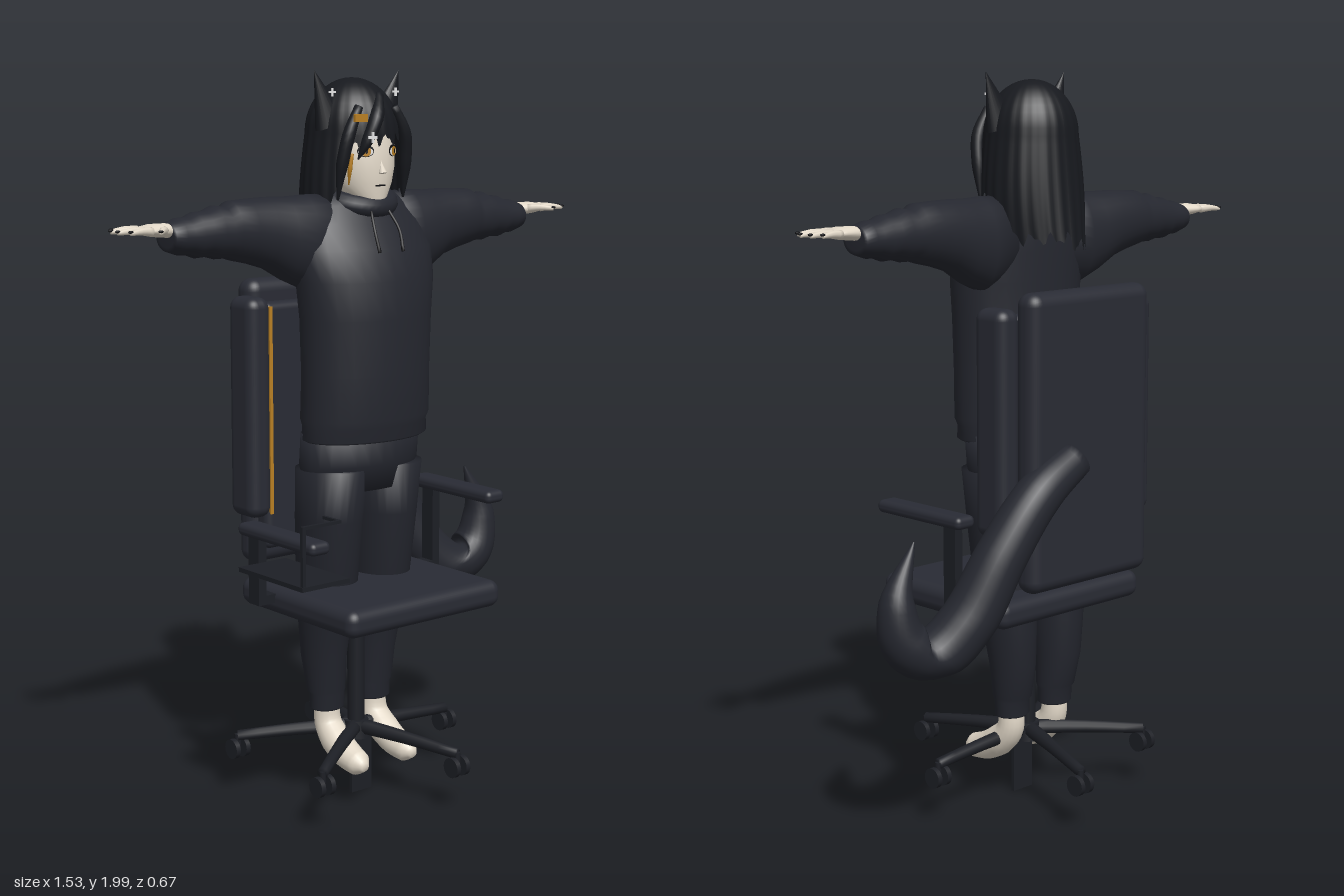
import * as THREE from 'three';
import { RoundedBoxGeometry } from 'three/addons/geometries/RoundedBoxGeometry.js';

const V = (x, y, z) => new THREE.Vector3(x, y, z);
const mat = (name, color, side = THREE.FrontSide) => {
  const m = new THREE.MeshStandardMaterial({ color, side });
  m.name = name;
  return m;
};

// Skin of quads over a grid of points; closed rings get end caps.
function skin(rings, closed = true) {
  const n = rings[0].length, pos = [], idx = [];
  rings.forEach(r => r.forEach(p => pos.push(p.x, p.y, p.z)));
  for (let i = 0; i < rings.length - 1; i++) {
    for (let j = 0; j < (closed ? n : n - 1); j++) {
      const k = (j + 1) % n, a = i * n + j, b = i * n + k;
      idx.push(a, b, a + n, b, b + n, a + n);
    }
  }
  if (closed) [0, rings.length - 1].forEach((ri, end) => {
    const c = rings[ri].reduce((s, p) => s.add(p), V(0, 0, 0)).divideScalar(n);
    const ci = pos.length / 3;
    pos.push(c.x, c.y, c.z);
    for (let j = 0; j < n; j++) {
      const a = ri * n + j, b = ri * n + (j + 1) % n;
      if (end) idx.push(ci, a, b); else idx.push(ci, b, a);
    }
  });
  const g = new THREE.BufferGeometry();
  g.setAttribute('position', new THREE.Float32BufferAttribute(pos, 3));
  g.setIndex(idx);
  g.computeVertexNormals();
  return g;
}

const ring = (c, u, v, n = 28) => Array.from({ length: n }, (_, j) => {
  const t = j / n * Math.PI * 2;
  return c.clone().addScaledVector(u, Math.cos(t)).addScaledVector(v, Math.sin(t));
});

// Upright loft, rows of [y, x centre, x radius, z centre, z radius]
const loftY = rows => skin(rows.map(([y, x, rx, z, rz]) => ring(V(x, y, z), V(0, 0, rz), V(rx, 0, 0))));
// Sideways loft, rows of [x, y centre, y radius, z centre, z radius]
const loftX = rows => skin(rows.map(([x, y, ry, z, rz]) => ring(V(x, y, z), V(0, ry, 0), V(0, 0, rz))));

// Tube with a changing radius along a smooth path
function taper(points, radii, segs = 24, sides = 16) {
  const curve = new THREE.CatmullRomCurve3(points.map(p => V(...p)));
  const f = curve.computeFrenetFrames(segs), rings = [];
  for (let i = 0; i <= segs; i++) {
    const s = i / segs * (radii.length - 1), k = Math.min(Math.floor(s), radii.length - 2);
    const r = THREE.MathUtils.lerp(radii[k], radii[k + 1], s - k);
    rings.push(ring(curve.getPoint(i / segs), f.normals[i].clone().multiplyScalar(r),
      f.binormals[i].clone().multiplyScalar(r), sides));
  }
  return skin(rings);
}

// Mirrored copy across x = 0
function flip(geo) {
  const g = geo.clone().scale(-1, 1, 1);
  if (!g.index) g.setIndex([...Array(g.attributes.position.count).keys()]);
  const a = g.index.array;
  for (let i = 0; i < a.length; i += 3) [a[i], a[i + 1]] = [a[i + 1], a[i]];
  return g;
}

export function createModel() {
  const root = new THREE.Group();
  const cloth = mat('hoodie cloth', 0x25272f), pants = mat('trouser cloth', 0x23252d);
  const chair = mat('chair padding', 0x292b34), frame = mat('chair frame', 0x1d1f25);
  const hairM = mat('hair', 0x17191e, THREE.DoubleSide), skinM = mat('skin', 0xe2d8c8);
  const gold = mat('gold', 0xb98024), white = mat('white', 0xf0f0f0), black = mat('black', 0x0e0e11);

  const add = (name, geo, m) => {
    const mesh = new THREE.Mesh(geo, m);
    mesh.name = name;
    root.add(mesh);
    return mesh;
  };
  const pair = (name, geo, m) => { add(name + 'Left', geo, m); add(name + 'Right', flip(geo), m); };
  // Boxes given by their bounds; r rounds the edges
  const block = (x0, x1, y0, y1, z0, z1, r = 0) => (r
    ? new RoundedBoxGeometry(x1 - x0, y1 - y0, z1 - z0, 4, r)
    : new THREE.BoxGeometry(x1 - x0, y1 - y0, z1 - z0))
    .translate((x0 + x1) / 2, (y0 + y1) / 2, (z0 + z1) / 2);

  // Chair seat and back
  add('seat', block(-0.27, 0.265, 0.55, 0.625, -0.18, 0.31, 0.03), chair);
  add('backPanel', block(-0.225, 0.222, 0.65, 1.44, -0.25, -0.172, 0.035), chair);
  add('backCushion', block(-0.21, 0.21, 0.7, 1.38, -0.18, -0.125, 0.02), chair);
  pair('sideBolster', block(0.212, 0.287, 0.8, 1.4, -0.2, -0.09, 0.03), chair);
  pair('goldPiping', block(0.19, 0.2, 0.8, 1.37, -0.13, -0.121), gold);

  // Armrests, the right one set lower
  [[1, 0.82], [-1, 0.77]].forEach(([s, y]) => {
    const side = s > 0 ? 'Left' : 'Right', fix = g => (s > 0 ? g : flip(g));
    add('armrest' + side, fix(block(0.275, 0.34, y, y + 0.035, -0.09, 0.237, 0.015)), chair);
    add('armrestPost' + side, fix(block(0.297, 0.323, 0.59, y + 0.01, -0.06, -0.015)), frame);
    add('armrestBracket' + side, fix(block(0.2, 0.323, 0.585, 0.61, -0.06, -0.015)), frame);
  });

  // Side tray with a thin wire guard
  add('tray', block(-0.428, -0.275, 0.71, 0.722, 0.04, 0.31), frame);
  add('trayPost', block(-0.425, -0.415, 0.715, 0.877, 0.298, 0.308), frame);
  add('trayBar', block(-0.425, -0.3, 0.869, 0.877, 0.298, 0.308), frame);
  add('trayBarEnd', block(-0.308, -0.3, 0.869, 0.877, 0.24, 0.308), frame);

  // Column and five-star base with twin casters
  add('column', new THREE.CylinderGeometry(0.024, 0.024, 0.38, 20).translate(0, 0.37, 0), frame);
  add('hub', new THREE.CylinderGeometry(0.035, 0.04, 0.05, 20).translate(0, 0.18, 0), frame);
  add('columnPlate', block(-0.036, 0.036, 0, 0.17, 0.016, 0.026), frame);
  for (let i = 0; i < 5; i++) {
    const a = i / 5 * Math.PI * 2, x = 0.335 * Math.cos(a), z = 0.325 * Math.sin(a);
    add('baseLeg', taper([[0, 0.187, 0], [x / 2, 0.178, z / 2], [x, 0.163, z]], [0.022, 0.018, 0.015], 6, 10), frame);
    add('casterStem', new THREE.CylinderGeometry(0.009, 0.009, 0.04, 8).translate(x, 0.147, z), frame);
    [-0.017, 0.017].forEach(d => add('casterWheel',
      new THREE.CylinderGeometry(0.028, 0.028, 0.014, 20).rotateZ(Math.PI / 2).translate(x + d, 0.127, z), frame));
  }

  // Tail
  add('tail', taper([[0.07, 1.0, -0.25], [0.2, 0.92, -0.245], [0.31, 0.78, -0.225], [0.4, 0.62, -0.195],
    [0.49, 0.54, -0.165], [0.575, 0.58, -0.15], [0.597, 0.69, -0.145], [0.535, 0.835, -0.14]],
  [0.05, 0.062, 0.068, 0.075, 0.075, 0.066, 0.046, 0.003], 48, 24), cloth);

  // Hoodie body
  add('hoodieBody', loftY([[1.02, 0, 0.188, 0.036, 0.115], [1.025, 0, 0.196, 0.037, 0.12], [1.06, 0, 0.193, 0.038, 0.122],
    [1.08, 0, 0.2, 0.04, 0.128], [1.2, 0, 0.196, 0.043, 0.132], [1.35, 0, 0.202, 0.043, 0.132],
    [1.45, 0, 0.215, 0.04, 0.127], [1.53, 0, 0.222, 0.027, 0.113], [1.6, 0, 0.205, 0.01, 0.092],
    [1.645, 0, 0.17, 0, 0.075], [1.675, 0, 0.12, -0.005, 0.065], [1.68, 0, 0.08, -0.01, 0.05]]), cloth);
  // Sleeves with soft folds near the cuff
  pair('sleeve', loftX([[0.1, 1.56, 0.115, 0, 0.075], [0.18, 1.55, 0.125, 0, 0.08], [0.24, 1.562, 0.11, -0.005, 0.077],
    [0.3, 1.58, 0.093, -0.01, 0.072], [0.36, 1.588, 0.083, -0.01, 0.069], [0.41, 1.592, 0.076, -0.01, 0.066],
    [0.43, 1.588, 0.066, -0.01, 0.062], [0.46, 1.59, 0.068, -0.01, 0.064], [0.49, 1.588, 0.058, -0.01, 0.058],
    [0.52, 1.586, 0.058, -0.01, 0.058], [0.545, 1.585, 0.048, -0.01, 0.052], [0.57, 1.585, 0.047, -0.01, 0.052],
    [0.6, 1.585, 0.037, -0.01, 0.047], [0.602, 1.587, 0.028, -0.01, 0.036]]), cloth);
  add('hoodCollar', new THREE.TorusGeometry(0.088, 0.028, 12, 36).rotateX(Math.PI / 2 + 0.28)
    .translate(0, 1.662, -0.003), cloth);
  pair('drawstring', taper([[0.03, 1.63, 0.1], [0.042, 1.58, 0.13], [0.04, 1.525, 0.148]], [0.004, 0.004, 0.005], 8, 6), black);

  // Trousers
  add('hips', loftY([[0.88, 0, 0.17, 0.01, 0.09], [0.95, 0, 0.19, 0.012, 0.104], [1.04, 0, 0.19, 0.02, 0.105]]), pants);
  pair('trouserLeg', loftY([[0.25, 0.083, 0.046, -0.026, 0.04], [0.255, 0.083, 0.051, -0.026, 0.044],
    [0.295, 0.083, 0.051, -0.026, 0.045], [0.305, 0.084, 0.055, -0.028, 0.052], [0.4, 0.088, 0.061, -0.033, 0.068],
    [0.5, 0.091, 0.069, -0.025, 0.08], [0.62, 0.094, 0.079, -0.012, 0.095], [0.8, 0.096, 0.088, 0.002, 0.102],
    [0.94, 0.097, 0.096, 0.014, 0.102]]), pants);

  // Bare feet, toes pointing down
  pair('foot', taper([[0.084, 0.27, -0.025], [0.084, 0.21, -0.02], [0.085, 0.165, 0.02], [0.086, 0.135, 0.075],
    [0.087, 0.125, 0.12], [0.087, 0.122, 0.147]], [0.034, 0.038, 0.043, 0.04, 0.034, 0.012], 20, 18), skinM);

  // Hands
  pair('palm', loftX([[0.58, 1.6, 0.018, -0.008, 0.026], [0.61, 1.603, 0.018, -0.006, 0.028],
    [0.65, 1.605, 0.016, -0.004, 0.041], [0.675, 1.605, 0.011, -0.004, 0.04]]), skinM);
  [[0.668, -0.037, 0.735, -0.052], [0.672, -0.016, 0.752, -0.026], [0.672, 0.006, 0.755, 0.01],
    [0.668, 0.026, 0.738, 0.042], [0.625, 0.018, 0.672, 0.074]].forEach(([x0, z0, x1, z1]) => {
    pair('finger', taper([[x0, 1.605, z0], [(x0 + x1) / 2, 1.607, (z0 + z1) / 2], [x1, 1.604, z1]], [0.011, 0.009, 0.005], 6, 8), skinM);
    pair('nail', new THREE.SphereGeometry(0.006, 8, 6).scale(1.3, 0.6, 0.9).translate(x1, 1.608, z1), black);
  });

  // Neck and head
  add('neck', new THREE.CylinderGeometry(0.043, 0.05, 0.14, 20).translate(0, 1.65, 0.005), skinM);
  add('neckline', new THREE.SphereGeometry(0.06, 16, 12).scale(0.8, 0.7, 0.7).translate(0, 1.655, 0.04), skinM);
  add('head', loftY([[1.637, 0, 0.012, 0.082, 0.012], [1.645, 0, 0.03, 0.068, 0.028], [1.665, 0, 0.055, 0.043, 0.056],
    [1.7, 0, 0.083, 0.018, 0.085], [1.74, 0, 0.098, 0.004, 0.102], [1.79, 0, 0.104, 0, 0.102],
    [1.86, 0, 0.104, -0.012, 0.1], [1.92, 0, 0.08, -0.02, 0.08]]), skinM);
  add('nose', new THREE.ConeGeometry(0.011, 0.035, 8).rotateX(-0.25).translate(0, 1.745, 0.108), skinM);
  add('mouth', block(-0.016, 0.016, 1.694, 1.698, 0.096, 0.103), black);
  const disc = (r, sx, sy, x, y, z) => new THREE.CircleGeometry(r, 20).scale(sx, sy, 1).rotateY(0.45).translate(x, y, z);
  pair('eyeLash', disc(0.021, 1.1, 0.75, 0.046, 1.786, 0.096), black);
  pair('eyeWhite', disc(0.019, 1.05, 0.6, 0.0465, 1.784, 0.098), white);
  pair('iris', disc(0.013, 1, 1, 0.047, 1.785, 0.1), gold);
  pair('pupil', disc(0.005, 0.8, 1.2, 0.0475, 1.785, 0.102), black);

  // Hair shell: dome above, straight hair below, with a ragged hem
  const { smoothstep } = THREE.MathUtils, rows = [], COLS = 120, ROWS = 22;
  const hem = a => 1.815 - 0.15 * smoothstep(Math.abs(a), 0.72, 1.05) - 0.1 * smoothstep(Math.abs(a), 1.5, 2.1)
    + 0.012 * Math.sin(a * 17) + 0.008 * Math.sin(a * 31 + 1) - 0.02 * smoothstep(-a, 0.1, 0.6);
  for (let i = 0; i <= ROWS; i++) {
    const t = i / ROWS, row = [];
    for (let j = 0; j <= COLS; j++) {
      const a = (j / COLS * 2 - 1) * Math.PI, up = t < 0.5;
      const phi = Math.min(t * 2, 1) * Math.PI / 2;
      const y = up ? 1.83 + 0.145 * Math.cos(phi) : THREE.MathUtils.lerp(1.83, hem(a), t * 2 - 1);
      const drop = up ? 0 : (1.83 - y) / 0.27;
      const r = Math.sin(phi) * (1 + 0.014 * Math.sin(a * 24) * t);
      const rz = Math.cos(a) > 0 ? 0.13 : 0.122 + 0.028 * drop;
      row.push(V(Math.sin(a) * r * (0.126 + 0.014 * Math.sin(Math.min(drop, 1) * 2.6)), y, -0.018 + Math.cos(a) * r * rz));
    }
    rows.push(row);
  }
  rows.reverse();
  add('hair', skin(rows, false), hairM);
  // Locks framing the face
  pair('sideLock', taper([[0.06, 1.9, 0.085], [0.095, 1.83, 0.088], [0.108, 1.75, 0.075], [0.112, 1.66, 0.062]],
    [0.012, 0.018, 0.017, 0.003], 14, 10), hairM);
  add('fringe', taper([[0.02, 1.93, 0.07], [-0.02, 1.87, 0.108], [-0.05, 1.81, 0.106], [-0.07, 1.765, 0.094]],
    [0.012, 0.02, 0.016, 0.002], 14, 10), hairM);

  // Animal ears
  pair('ear', new THREE.ConeGeometry(0.05, 0.15, 20).scale(1, 1, 0.6).rotateZ(-0.38).translate(0.117, 1.925, 0.005), hairM);
  const cross = (x, y, z, s) => [[s, s / 4], [s / 4, s]].map(([w, h]) => block(x - w, x + w, y - h, y + h, z, z + 0.004));
  cross(0.108, 1.937, 0.033, 0.011).forEach(g => pair('earMark', g, white));

  // Hair ornaments
  add('hairClip', block(-0.112, -0.07, 1.862, 1.882, 0.126, 0.134), gold);
  cross(-0.05, 1.822, 0.128, 0.014).forEach(g => add('crossClip', g, white));
  add('goldStrand', taper([[-0.084, 1.78, 0.088], [-0.092, 1.74, 0.088], [-0.09, 1.7, 0.08]], [0.004, 0.006, 0.002], 8, 6), gold);

  return root;
}
